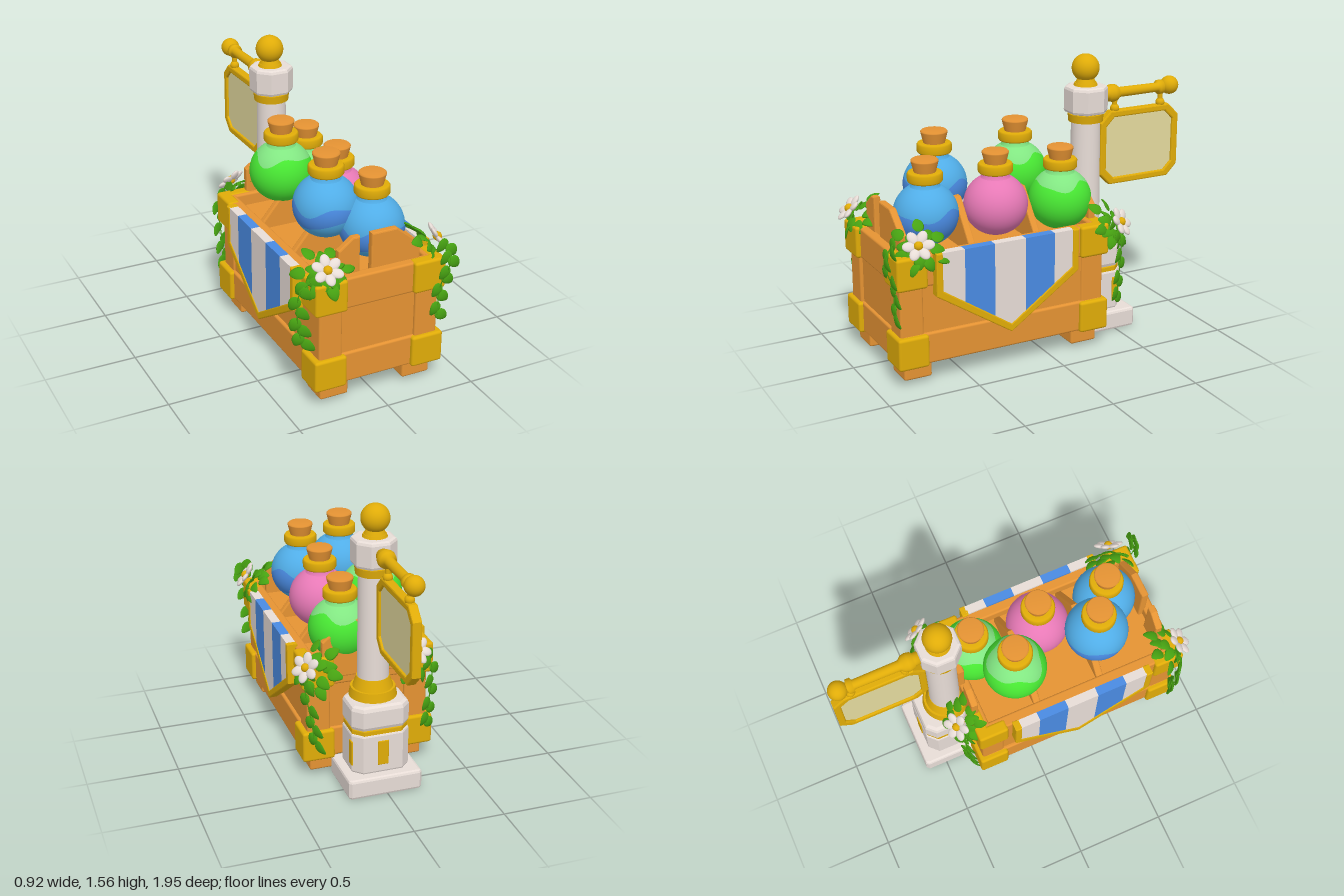
import * as THREE from 'three';
import { RoundedBoxGeometry } from 'three/addons/geometries/RoundedBoxGeometry.js';
import { ParametricGeometry } from 'three/addons/geometries/ParametricGeometry.js';

const mat = (name, color) => Object.assign(new THREE.MeshStandardMaterial({ color }), { name });
const wood = mat('wood', 0xe59333), gold = mat('gold', 0xe0ac08), stone = mat('stone white', 0xede2dc);
const blue = mat('blue glass', 0x54b4f0), darkBlue = mat('deep blue', 0x4a8be2);
const green = mat('green potion', 0x4cf236), paleGreen = mat('pale green glass', 0x82e682);
const pink = mat('pink potion', 0xec7cba), leafGreen = mat('leaf green', 0x47a312);
const cream = mat('parchment', 0xe4da9e);

const CX = 0.012, CZ = 0.275; // crate centre
const PZ = -0.4;              // pillar centre

function add(parent, name, geo, material, x = 0, y = 0, z = 0) {
  const m = new THREE.Mesh(geo, material);
  m.name = name;
  m.position.set(x, y, z);
  parent.add(m);
  return m;
}
const box = (parent, name, material, w, h, d, x, y, z, r = 0.012) =>
  add(parent, name, new RoundedBoxGeometry(w, h, d, 2, r), material, x, y, z);
const cyl = (parent, name, material, rTop, rBottom, y0, y1, x, z) =>
  add(parent, name, new THREE.CylinderGeometry(rTop, rBottom, y1 - y0, 28), material, x, (y0 + y1) / 2, z);
const lathe = (pts) => new THREE.LatheGeometry(pts.map((p) => new THREE.Vector2(...p)), 28);
const shapeOf = (pts) => new THREE.Shape(pts.map(([x, y]) => new THREE.Vector2(x, y)));
const extrude = (shape, depth, bevel = 0) => new THREE.ExtrudeGeometry(shape, {
  depth: depth - 2 * bevel, bevelEnabled: bevel > 0, bevelSize: bevel, bevelThickness: bevel,
  bevelOffset: -bevel, bevelSegments: 2,
}).translate(0, 0, bevel);
// rectangle with cut corners
const cutRect = (w, h, c) => [[-w + c, -h], [w - c, -h], [w, -h + c], [w, h - c], [w - c, h], [-w + c, h], [-w, h - c], [-w, -h + c]];

function crate() {
  const g = new THREE.Group();
  g.name = 'crate';
  for (const [y, w] of [[0.197, 0.12], [0.623, 0.065]]) {
    for (const s of [-1, 1]) {
      box(g, 'sideRail', wood, w, 0.17, 1.16, CX + s * (0.348 - w / 2), y, CZ);
      box(g, 'endRail', wood, 0.66, 0.17, 0.06, CX, y, CZ + s * 0.56);
    }
  }
  for (const s of [-1, 1]) {
    box(g, 'sidePanel', wood, 0.03, 0.32, 1.1, CX + s * 0.315, 0.41, CZ);
    box(g, 'endPanel', wood, 0.6, 0.32, 0.03, CX, 0.41, CZ + s * 0.56);
    for (const t of [-1, 1]) {
      box(g, 'cornerPost', wood, 0.13, 0.34, 0.13, CX + s * 0.275, 0.41, CZ + t * 0.528);
      box(g, 'foot', wood, 0.16, 0.1, 0.155, CX + s * 0.24, 0.076, CZ + t * 0.492);
      for (const y of [0.193, 0.625]) { // L-shaped metal corners
        box(g, 'cornerCap', gold, 0.18, 0.175, 0.07, CX + s * 0.28, y, CZ + t * 0.58, 0.015);
        box(g, 'cornerCap', gold, 0.07, 0.175, 0.17, CX + s * 0.335, y, CZ + t * 0.53, 0.015);
      }
    }
  }
  box(g, 'floor', wood, 0.6, 0.03, 1.1, CX, 0.625, CZ);
  // notched end boards
  const right = [[-0.015, 0.58], [0.265, 0.58], [0.265, 0.79], [0.13, 0.9], [-0.015, 0.9]];
  const left = [[-0.08, 0.58], [-0.08, 0.9], [-0.12, 0.9], [-0.2, 0.84], [-0.2, 0.58]];
  for (const z of [0.78, -0.32]) {
    for (const pts of [left, right]) add(g, 'endBoard', extrude(shapeOf(pts), 0.04, 0.008), wood, 0, 0, z);
  }
  // peaked dividers between the bottles
  const peak = [[-0.27, 0.6], [0.29, 0.6], [0.29, 0.66], [0.1, 0.9], [-0.07, 0.9], [-0.27, 0.66]];
  for (const z of [0.4, 0.02]) add(g, 'divider', extrude(shapeOf(peak), 0.04, 0.008), wood, 0, 0, z);
  return g;
}

// striped pennant hanging over a side wall, drawn in z and y
function banner(outerX) {
  const g = new THREE.Group();
  g.name = 'banner';
  const edge = (z) => 0.25 + Math.abs(z - 0.26) * 0.68;
  const cuts = [-0.11, 0.005, 0.175, 0.355, 0.525, 0.65];
  for (let i = 0; i < 5; i++) {
    const a = cuts[i], b = cuts[i + 1];
    const pts = [[a, 0.72], [a, edge(a)]];
    if (a < 0.26 && b > 0.26) pts.push([0.26, edge(0.26)]);
    pts.push([b, edge(b)], [b, 0.72]);
    add(g, 'stripe', extrude(shapeOf(pts), 0.05), i % 2 ? darkBlue : stone, 0, 0, 0.005);
  }
  const trim = [[-0.14, 0.72], [-0.14, 0.49], [0.26, 0.215], [0.685, 0.49], [0.685, 0.72],
    [0.648, 0.72], [0.648, 0.515], [0.26, 0.26], [-0.103, 0.515], [-0.103, 0.72]];
  add(g, 'trim', extrude(shapeOf(trim), 0.06, 0.006), gold);
  g.rotation.y = -Math.PI / 2;
  g.position.x = outerX;
  return g;
}

// round flask with a band of potion between two wavy lines
function bottle(x, z, top, glass, liquid, level, end) {
  const g = new THREE.Group();
  g.name = 'bottle';
  g.position.set(x, top, z);
  const upper = (a) => level + 0.13 * Math.sin(3 * a) + 0.06 * Math.sin(5 * a + 1);
  const lower = (a) => end + 0.15 * Math.sin(2 * a + 2);
  const bulb = (from, to) => new ParametricGeometry((u, v, p) => {
    const a = u * Math.PI * 2, t = from(a) + (to(a) - from(a)) * v;
    p.set(0.172 * Math.sin(t) * Math.cos(a), 0.168 * Math.cos(t), 0.172 * Math.sin(t) * Math.sin(a));
  }, 40, 12);
  add(g, 'upperGlass', bulb(() => 0.2, upper), glass, 0, -0.295, 0);
  add(g, 'liquid', bulb(upper, lower), liquid, 0, -0.295, 0);
  add(g, 'lowerGlass', bulb(lower, () => 3.1), glass, 0, -0.295, 0);
  add(g, 'neck', lathe([[0.12, -0.18], [0.085, -0.155], [0.07, -0.13], [0.07, -0.1]]), glass);
  add(g, 'collar', lathe([[0.05, -0.122], [0.086, -0.122], [0.093, -0.113], [0.093, -0.077], [0.086, -0.068], [0.05, -0.068]]), gold);
  add(g, 'cork', lathe([[0.055, -0.08], [0.072, -0.012], [0.072, -0.007], [0.065, 0], [0, 0]]), wood);
  return g;
}

function pillar() {
  const g = new THREE.Group();
  g.name = 'pillar';
  const block = (name, m, halfX, cut, y0, y1, bevel, zBack, zFront) => {
    const shape = shapeOf(cutRect(halfX, (zFront - zBack) / 2, cut));
    add(g, name, extrude(shape, y1 - y0, bevel), m, CX, y0, (zBack + zFront) / 2).rotation.x = -Math.PI / 2;
  };
  block('base', stone, 0.205, 0.015, 0, 0.112, 0.015, -0.622, -0.3);
  block('plinthLower', stone, 0.16, 0.05, 0.11, 0.34, 0.012, -0.57, -0.32);
  block('plinthBand', gold, 0.154, 0.05, 0.33, 0.365, 0.005, -0.564, -0.32);
  block('plinthUpper', stone, 0.16, 0.05, 0.36, 0.5, 0.025, -0.57, -0.32);
  // small plates on the plinth
  box(g, 'plinthPlate', gold, 0.06, 0.14, 0.009, CX, 0.23, -0.571, 0.003);
  box(g, 'plinthPlate', gold, 0.009, 0.14, 0.045, CX + 0.161, 0.23, -0.515, 0.003);
  cyl(g, 'lowerRing', gold, 0.12, 0.13, 0.495, 0.55, CX, PZ);
  cyl(g, 'lowerRing', gold, 0.088, 0.108, 0.55, 0.61, CX, PZ);
  cyl(g, 'shaft', stone, 0.08, 0.085, 0.58, 1.25, CX, PZ);
  cyl(g, 'upperRing', gold, 0.1, 0.095, 1.188, 1.232, CX, PZ);
  block('capital', stone, 0.11, 0.06, 1.235, 1.385, 0.018, PZ - 0.11, PZ + 0.11);
  cyl(g, 'finialFoot', gold, 0.06, 0.068, 1.38, 1.4, CX - 0.006, PZ);
  cyl(g, 'finialNeck', gold, 0.045, 0.056, 1.4, 1.425, CX - 0.006, PZ);
  add(g, 'finial', new THREE.SphereGeometry(0.076, 28, 20), gold, CX - 0.008, 1.481, PZ);
  return g;
}

function hangingSign() {
  const g = new THREE.Group();
  g.name = 'hangingSign';
  // arm turned about its own axis: radius, distance behind the pillar centre
  const arm = [[0, 0.08], [0.035, 0.1], [0.035, 0.13], [0.045, 0.14], [0.05, 0.165], [0.045, 0.19], [0.028, 0.21],
    [0.026, 0.46], [0.04, 0.465], [0.04, 0.49], [0.026, 0.495], [0.026, 0.54]];
  add(g, 'arm', lathe(arm), gold, 0, 1.32, -0.405).rotation.x = -Math.PI / 2;
  add(g, 'armBall', new THREE.SphereGeometry(0.052, 24, 16), gold, 0, 1.325, -0.948);
  for (const z of [-0.59, -0.89]) {
    cyl(g, 'hanger', gold, 0.014, 0.014, 1.2, 1.32, 0, z);
    add(g, 'hangerBall', new THREE.SphereGeometry(0.026, 16, 12), gold, 0, 1.232, z);
  }
  const frame = shapeOf(cutRect(0.255, 0.212, 0.065));
  frame.holes.push(new THREE.Path(cutRect(0.216, 0.174, 0.05).reverse().map((p) => new THREE.Vector2(...p))));
  const parts = [['signFrame', extrude(frame, 0.05, 0.008), gold, 0.025],
    ['signPanel', extrude(shapeOf(cutRect(0.225, 0.185, 0.055)), 0.024), cream, 0.012]];
  for (const [name, geo, m, x] of parts) add(g, name, geo, m, x, 1.01, -0.745).rotation.y = -Math.PI / 2;
  g.position.x = 0.005;
  return g;
}

// pointed leaf growing along +y from its stem
function leafGeometry() {
  const geo = new THREE.SphereGeometry(1, 10, 8), p = geo.attributes.position;
  for (let i = 0; i < p.count; i++) {
    const y = p.getY(i), w = 1 - 0.35 * y;
    p.setXYZ(i, p.getX(i) * 0.03 * w, (y + 1) * 0.042, p.getZ(i) * 0.007 - 0.008 * y * y);
  }
  geo.computeVertexNormals();
  return geo;
}
const leaf = leafGeometry();
const petal = new THREE.SphereGeometry(1, 12, 8).scale(0.027, 0.036, 0.013).translate(0, 0.048, 0);

// flower on a bed of leaves, with a trailing vine facing yaw
function blossom(pos, facing, vine, yaw) {
  const g = new THREE.Group();
  g.name = 'blossom';
  const head = new THREE.Group();
  head.name = 'flower';
  head.position.set(...pos);
  head.quaternion.setFromUnitVectors(new THREE.Vector3(0, 0, 1), new THREE.Vector3(...facing).normalize());
  for (let i = 0; i < 6; i++) {
    const m = add(head, 'petal', petal, stone, 0, 0, 0.015);
    m.rotation.set(0.15, 0, i * Math.PI / 3, 'ZXY');
  }
  add(head, 'flowerCentre', new THREE.SphereGeometry(0.024, 14, 10), gold, 0, 0, 0.022);
  for (let i = 0; i < 14; i++) {
    const a = i * 2.4, r = 0.03 + 0.034 * (i % 3);
    const m = add(head, 'leaf', leaf, leafGreen, -Math.sin(a) * r, Math.cos(a) * r, -0.02 - 0.012 * (i % 3));
    m.rotation.set(-0.35 - 0.2 * (i % 2), 0.3 * Math.sin(i * 5), a, 'ZXY');
  }
  g.add(head);
  const curve = new THREE.CatmullRomCurve3(vine.map((p) => new THREE.Vector3(...p)));
  add(g, 'vineStem', new THREE.TubeGeometry(curve, 16, 0.003, 6), leafGreen);
  for (let i = 0; i < 10; i++) {
    const p = curve.getPoint(i / 9), s = i % 2 ? 1 : -1;
    const m = add(g, 'vineLeaf', leaf, leafGreen, p.x, p.y + 0.02, p.z);
    m.rotation.set(0.08, yaw, Math.PI + s * (0.6 + 0.25 * Math.sin(i * 3)), 'YXZ');
  }
  return g;
}

export function createModel() {
  const model = new THREE.Group();
  model.name = 'potionCrate';
  model.add(crate(), banner(0.405), banner(-0.325), pillar(), hangingSign());
  model.add(
    bottle(0.1, 0.605, 1.13, blue, darkBlue, 1.45, 2.1),
    bottle(-0.09, 0.465, 1.22, blue, darkBlue, 1.45, 1.95),
    bottle(0.11, 0.205, 1.125, pink, pink, 1.6, 2.5),
    bottle(-0.107, -0.025, 1.22, paleGreen, green, 0.98, 2.8),
    bottle(0.12, -0.18, 1.1, paleGreen, green, 0.98, 2.8),
  );
  model.add(
    blossom([-0.29, 0.775, 0.865], [-0.1, 0.7, 0.7], [[-0.34, 0.75, 0.86], [-0.42, 0.68, 0.84], [-0.425, 0.5, 0.82], [-0.4, 0.37, 0.82]], -0.6),
    blossom([0.375, 0.765, 0.77], [0.8, 0.6, 0.25], [[0.37, 0.8, 0.9], [0.365, 0.72, 0.95], [0.345, 0.55, 0.897], [0.335, 0.39, 0.895]], 0),
    blossom([0.37, 0.7, -0.4], [0.7, 0.5, -0.5], [[0.37, 0.72, -0.39], [0.39, 0.6, -0.41], [0.36, 0.4, -0.42], [0.34, 0.25, -0.42]], 2.1),
    blossom([-0.225, 0.715, -0.41], [-0.3, 0.6, -0.7], [[-0.28, 0.72, -0.39], [-0.32, 0.6, -0.41], [-0.31, 0.4, -0.4], [-0.3, 0.26, -0.39]], 3.6),
  );
  return model;
}
